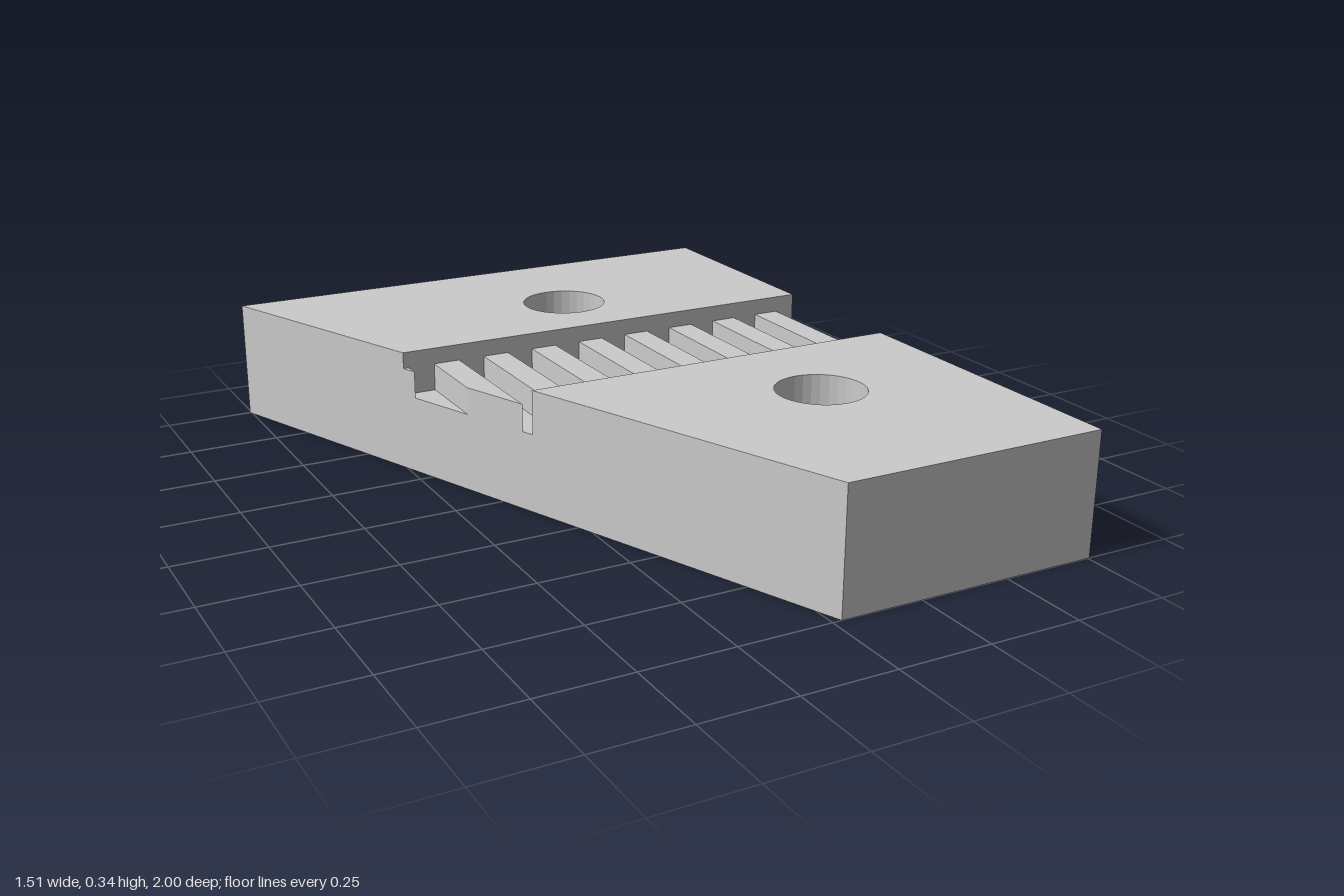
import * as THREE from 'three';

const HEIGHT = 0.335, FLOOR = 0.215, TOOTH = 0.29;   // levels above the ground
const RIGHT = 0.755, BACK = -1, FRONT = 1;           // straight sides
const CH_BACK = -0.345, CH_FRONT = 0.105;            // channel limits in z
const PITCH = 0.1475, HOLE_R = 0.12;
const SLOPE = 0.78 / 2;

// slanted side of the plate: x for a given z, and the inverse
const edgeX = z => -RIGHT + (z - BACK) * SLOPE;
const edgeZ = x => BACK + (x + RIGHT) / SLOPE;

export function createModel() {
  const group = new THREE.Group();
  const material = new THREE.MeshStandardMaterial({ color: 0xcccccc, flatShading: true });

  // upright prism over a footprint of [x, z] points, with optional round hole
  function prism(name, points, height, hole) {
    const shape = new THREE.Shape(points.map(([x, z]) => new THREE.Vector2(x, -z)));
    if (hole) {
      const path = new THREE.Path();
      path.absarc(hole[0], -hole[1], HOLE_R, 0, Math.PI * 2, true);
      shape.holes.push(path);
    }
    const geometry = new THREE.ExtrudeGeometry(shape, { depth: height, bevelEnabled: false, curveSegments: 16 });
    geometry.rotateX(-Math.PI / 2);
    const mesh = new THREE.Mesh(geometry, material);
    mesh.name = name;
    group.add(mesh);
  }

  // full-height blocks behind and in front of the channel
  const block = (name, z0, z1, hole) =>
    prism(name, [[edgeX(z1), z1], [RIGHT, z1], [RIGHT, z0], [edgeX(z0), z0]], HEIGHT, hole);
  block('backBlock', BACK, CH_BACK, [0.107, -0.595]);
  block('frontBlock', CH_FRONT, FRONT, [0.33, 0.44]);

  // alternating teeth and grooves across the channel, cut off by the slanted side
  const start = edgeX(CH_BACK), corner = edgeX(CH_FRONT);
  for (let i = -2; i < 16; i++) {
    const x0 = Math.max(start, -0.41 + i * PITCH / 2);
    const x1 = Math.min(RIGHT, -0.41 + (i + 1) * PITCH / 2);
    const points = [];
    if (x0 > start) points.push([x0, Math.min(CH_FRONT, edgeZ(x0))]);
    if (x0 < corner && corner < x1) points.push([corner, CH_FRONT]);
    points.push([x1, Math.min(CH_FRONT, edgeZ(x1))], [x1, CH_BACK], [x0, CH_BACK]);
    const isTooth = i % 2 === 0;
    prism(isTooth ? 'tooth' : 'groove', points, isTooth ? TOOTH : FLOOR);
  }
  return group;
}
